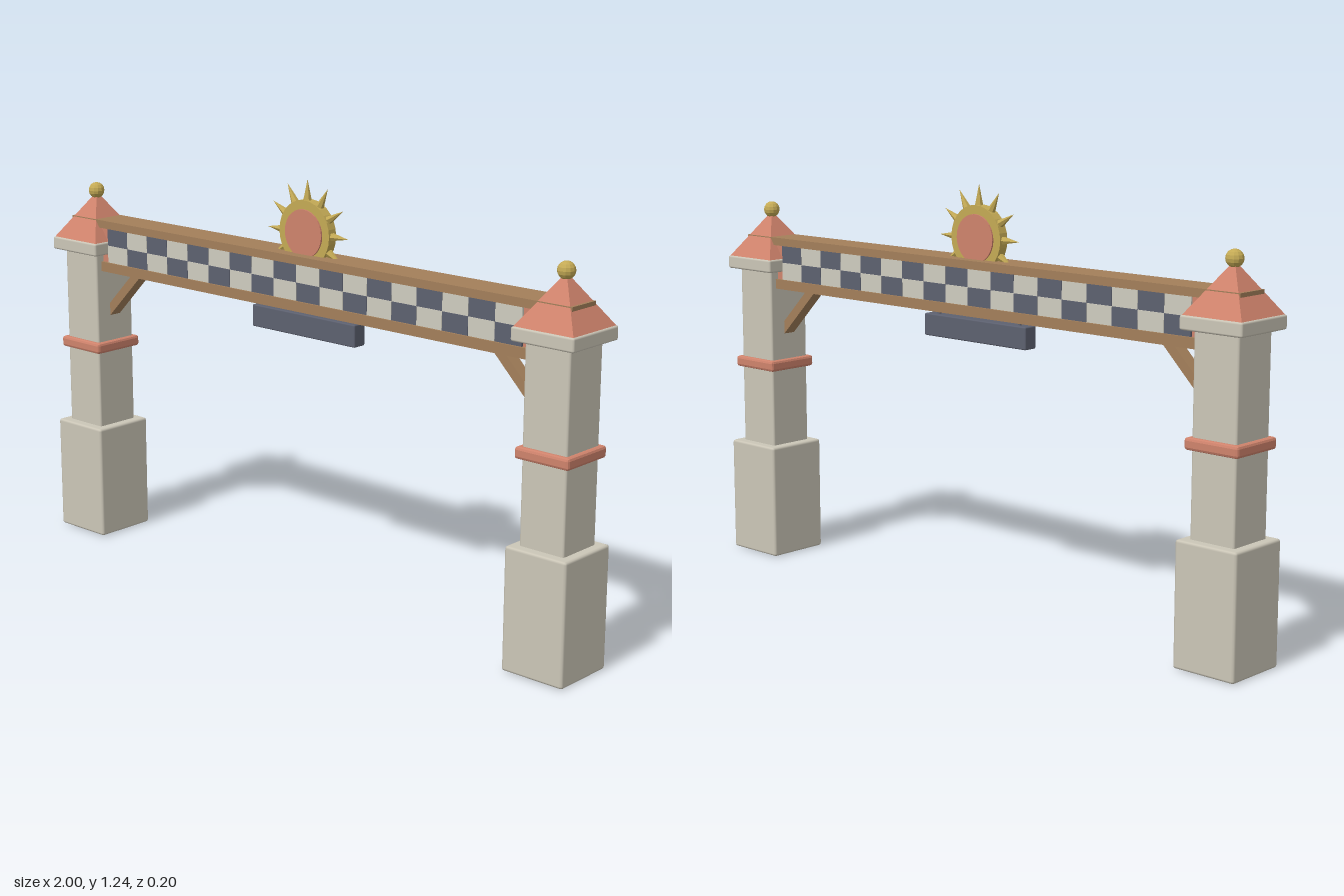
import * as THREE from 'three';
import { RoundedBoxGeometry } from 'three/addons/geometries/RoundedBoxGeometry.js';

const paint = (name, color, flatShading = false) => {
  const m = new THREE.MeshStandardMaterial({ color, flatShading });
  m.name = name;
  return m;
};

export function createModel() {
  const stone = paint('stone', 0xcbc6b7);
  const clay = paint('terracotta', 0xcf836c, true);
  const wood = paint('wood', 0xa37f5a);
  const slate = paint('slate', 0x5d6170);
  const cream = paint('cream', 0xcfccbf);
  const gold = paint('gold', 0xc4aa55, true);

  const model = new THREE.Group();
  model.name = 'gateway';

  const add = (parent, name, geometry, material, x = 0, y = 0, z = 0) => {
    const mesh = new THREE.Mesh(geometry, material);
    mesh.name = name;
    mesh.position.set(x, y, z);
    parent.add(mesh);
    return mesh;
  };
  const box = (w, h, d) => new THREE.BoxGeometry(w, h, d);
  const block = (w, h, d, r) => new RoundedBoxGeometry(w, h, d, 1, r);

  // Two pillars with tiled roofs, and the braces that lean on them
  for (const side of [-1, 1]) {
    const pillar = new THREE.Group();
    pillar.name = side > 0 ? 'leftPillar' : 'rightPillar';
    pillar.position.x = side * 0.9;
    model.add(pillar);

    add(pillar, 'plinth', block(0.2, 0.356, 0.2, 0.008), stone, 0, 0.178);
    add(pillar, 'shaft', block(0.144, 0.58, 0.144, 0.006), stone, 0, 0.64);
    add(pillar, 'band', block(0.174, 0.034, 0.174, 0.008), clay, 0, 0.614);
    add(pillar, 'cap', block(0.2, 0.04, 0.2, 0.006), stone, 0, 0.934);
    const roof = new THREE.ConeGeometry(0.095 * Math.SQRT2, 0.142, 4);
    roof.rotateY(Math.PI / 4);
    add(pillar, 'roof', roof, clay, 0, 1.024);
    add(pillar, 'finial', new THREE.SphereGeometry(0.025, 12, 8), gold, 0, 1.1);

    const brace = add(model, 'brace', box(0.215, 0.028, 0.04), wood, side * 0.7625, 0.7975);
    brace.rotation.z = -side * Math.PI / 4;
  }

  // Beam: two wooden rails with a panel between them
  add(model, 'topRail', box(1.916, 0.024, 0.104), wood, 0, 1.008);
  add(model, 'bottomRail', box(1.8, 0.03, 0.104), wood, 0, 0.874);
  add(model, 'panel', box(1.7, 0.11, 0.084), clay, 0, 0.942);

  // Chequered plates, the same on both faces when seen head-on
  const columns = 18, cellW = 1.6 / columns, cellH = 0.0535;
  const cell = box(cellW - 0.0008, cellH - 0.0005, 0.006);
  for (const turn of [0, Math.PI]) {
    const face = new THREE.Group();
    face.name = turn ? 'backChequers' : 'frontChequers';
    face.rotation.y = turn;
    model.add(face);
    for (let row = 0; row < 2; row++) {
      for (let col = 0; col < columns; col++) {
        const dark = (row + col) % 2 === 0;
        add(face, dark ? 'darkTile' : 'lightTile', cell, dark ? slate : cream,
          -0.8 + (col + 0.5) * cellW, 0.9695 - row * cellH, 0.045);
      }
    }
  }

  // Hanging board
  add(model, 'board', block(0.4, 0.066, 0.045, 0.004), slate, 0, 0.812);
  for (const x of [-0.16, 0.16]) {
    add(model, 'hanger', box(0.008, 0.03, 0.008), slate, x, 0.853);
  }

  // Sun crest: gold wheel, clay disc and radiating spikes
  const sun = new THREE.Group();
  sun.name = 'sunCrest';
  sun.position.y = 1.08;
  model.add(sun);
  const disc = (r, depth) => new THREE.CylinderGeometry(r, r, depth, 28).rotateX(Math.PI / 2);
  add(sun, 'wheel', disc(0.096, 0.03), gold);
  add(sun, 'sunDisc', disc(0.07, 0.04), clay);
  const spike = new THREE.ConeGeometry(0.013, 0.064, 6);
  for (let i = -1; i <= 7; i++) {
    const a = i * Math.PI / 6;
    const ray = add(sun, 'ray', spike, gold, Math.cos(a) * 0.123, Math.sin(a) * 0.123);
    ray.rotation.z = a - Math.PI / 2;
  }

  return model;
}
